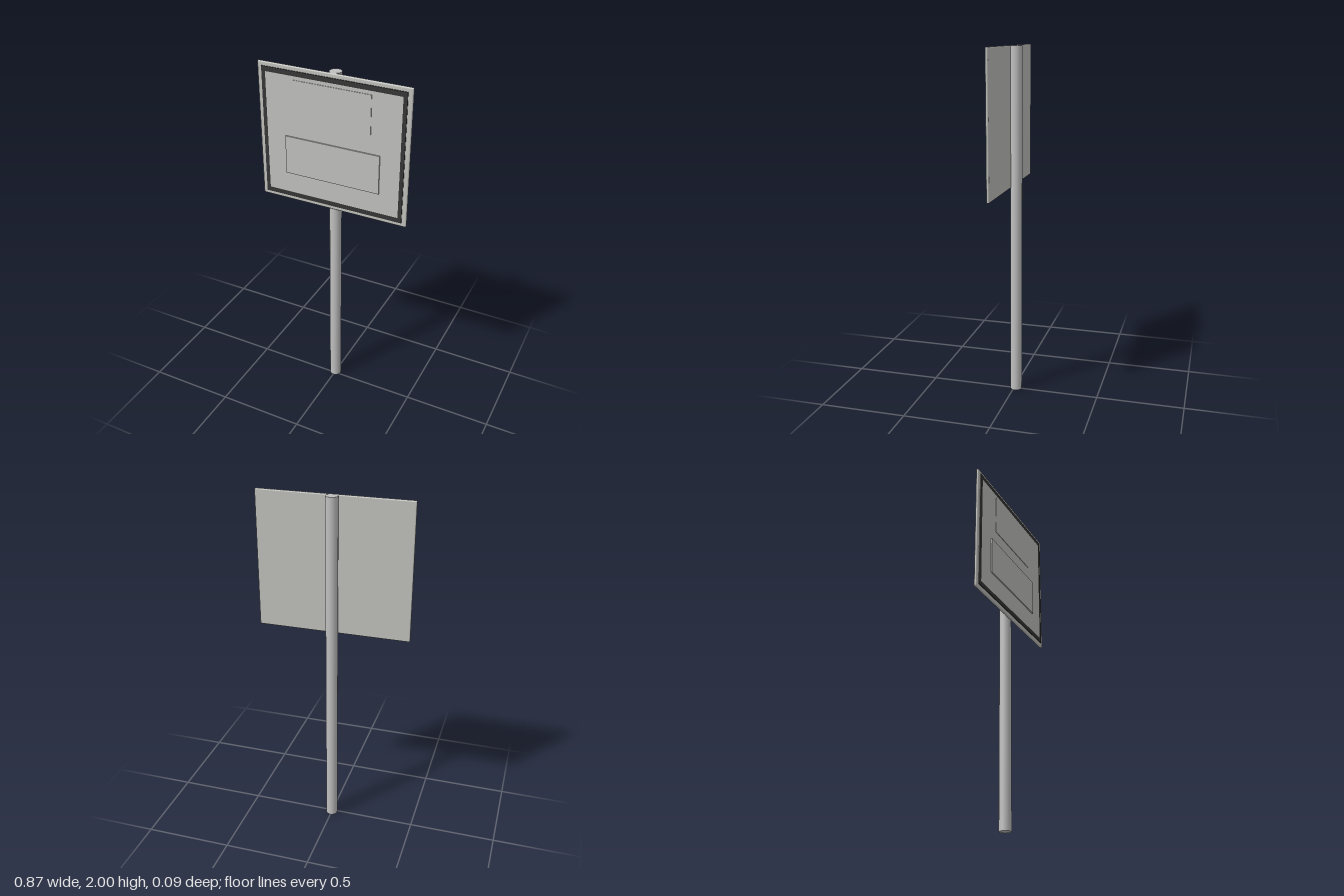
import * as THREE from 'three';
import { RoundedBoxGeometry } from 'three/addons/geometries/RoundedBoxGeometry.js';

export function createModel() {
  const group = new THREE.Group();
  const material = (name, color) => {
    const m = new THREE.MeshStandardMaterial({ color });
    m.name = name;
    return m;
  };
  const postGrey = material('post grey', 0xc0c0c0);
  const panelGrey = material('panel grey', 0xc0c1bd);
  const faceGrey = material('face grey', 0xc0c0be);
  const borderDark = material('border dark', 0x363636);

  const add = (name, geometry, mat, x, y, z) => {
    const mesh = new THREE.Mesh(geometry, mat);
    mesh.name = name;
    mesh.position.set(x, y, z);
    group.add(mesh);
  };

  // Round post standing behind the panel
  add('post', new THREE.CylinderGeometry(0.034, 0.034, 2, 16), postGrey, 0, 1, -0.013);

  // Sign panel with softly rounded edges
  const midY = 1.611;
  add('panel', new RoundedBoxGeometry(0.868, 0.778, 0.016, 3, 0.007), panelGrey, 0, midY, 0.021);

  // Dark rectangular border, open in the middle
  const rectangle = (target, w, h) => {
    target.moveTo(-w, -h);
    target.lineTo(w, -h);
    target.lineTo(w, h);
    target.lineTo(-w, h);
    target.closePath();
    return target;
  };
  const border = rectangle(new THREE.Shape(), 0.408, 0.366);
  border.holes.push(rectangle(new THREE.Path(), 0.386, 0.339));
  add('border', new THREE.ExtrudeGeometry(border, { depth: 0.005, bevelEnabled: false }),
    borderDark, 0, midY, 0.028);

  // Blank face inside the border, with two thin raised plates
  add('face', new THREE.BoxGeometry(0.772, 0.678, 0.005), faceGrey, 0, midY, 0.0305);
  add('upperPlate', new THREE.BoxGeometry(0.44, 0.24, 0.004), faceGrey, 0, 1.81, 0.034);
  add('lowerPlate', new THREE.BoxGeometry(0.55, 0.22, 0.008), faceGrey, 0, 1.5, 0.036);

  return group;
}
